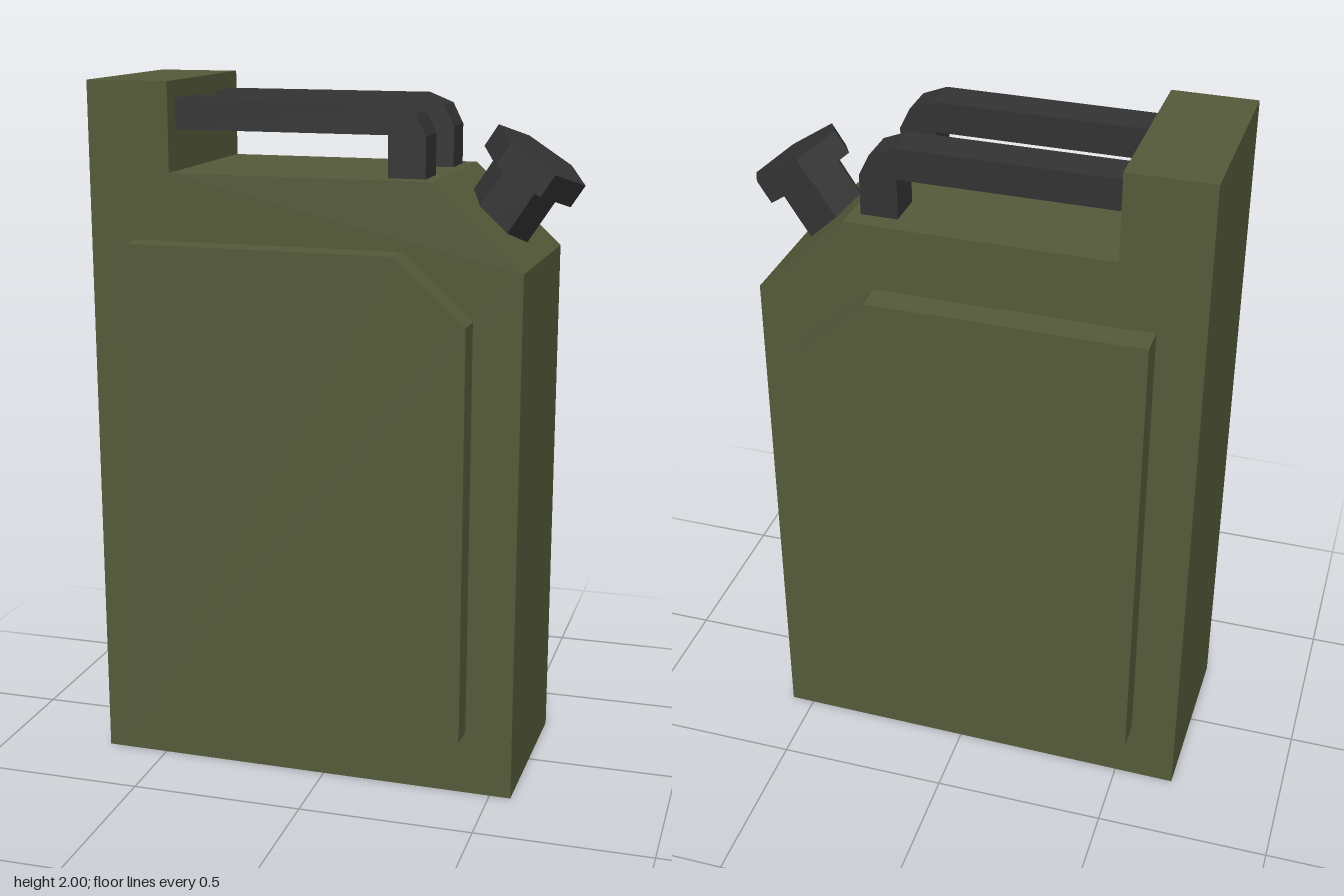
import * as THREE from 'three';

const olive = new THREE.MeshStandardMaterial({ color: 0x555a3a, flatShading: true });
const dark = new THREE.MeshStandardMaterial({ color: 0x333333, flatShading: true });

// Extrudes an xy outline to a slab centred on z
function slab(name, points, depth, z, material) {
  const shape = new THREE.Shape(points.map(([x, y]) => new THREE.Vector2(x, y)));
  const geometry = new THREE.ExtrudeGeometry(shape, { depth, bevelEnabled: false });
  geometry.translate(0, 0, z - depth / 2);
  const mesh = new THREE.Mesh(geometry, material);
  mesh.name = name;
  return mesh;
}

// Hexagonal prism standing on y = bottom, with corners toward +x and -x
function hexPrism(name, radius, bottom, height) {
  const geometry = new THREE.CylinderGeometry(radius, radius, height, 6, 1, false, Math.PI / 2);
  geometry.translate(0, bottom + height / 2, 0);
  const mesh = new THREE.Mesh(geometry, dark);
  mesh.name = name;
  return mesh;
}

export function createModel() {
  const can = new THREE.Group();
  can.name = 'fuelCan';

  // Tank with raised rear block and sloped shoulder
  can.add(slab('body', [
    [-0.68, 0], [0.565, 0], [0.565, 1.515], [0.31, 1.75],
    [-0.44, 1.75], [-0.44, 2], [-0.68, 2],
  ], 0.54, 0, olive));

  const panel = [[-0.547, 0.19], [0.43, 0.19], [0.43, 1.38], [0.228, 1.56], [-0.547, 1.56]];
  const handle = [
    [-0.44, 1.865], [0.175, 1.865], [0.175, 1.74], [0.28, 1.74],
    [0.28, 1.865], [0.25, 1.925], [0.18, 1.953], [-0.44, 1.953],
  ];

  // Raised side panels and the pair of carrying handles
  for (const [side, s] of [['front', 1], ['back', -1]]) {
    can.add(slab(side + 'Panel', panel, 0.084, s * 0.312, olive));
    can.add(slab(side + 'Handle', handle, 0.112, s * 0.158, dark));
  }

  // Tilted spout: neck sunk in the shoulder, wider cap on top
  const spout = new THREE.Group();
  spout.name = 'spout';
  spout.add(hexPrism('neck', 0.104, -0.25, 0.25), hexPrism('cap', 0.147, 0, 0.072));
  spout.position.set(0.513, 1.742, -0.008);
  spout.rotation.z = -0.579;
  can.add(spout);

  // The can stands very slightly turned
  can.rotation.y = -0.014;
  can.position.z = -0.008;

  const model = new THREE.Group();
  model.add(can);
  return model;
}
